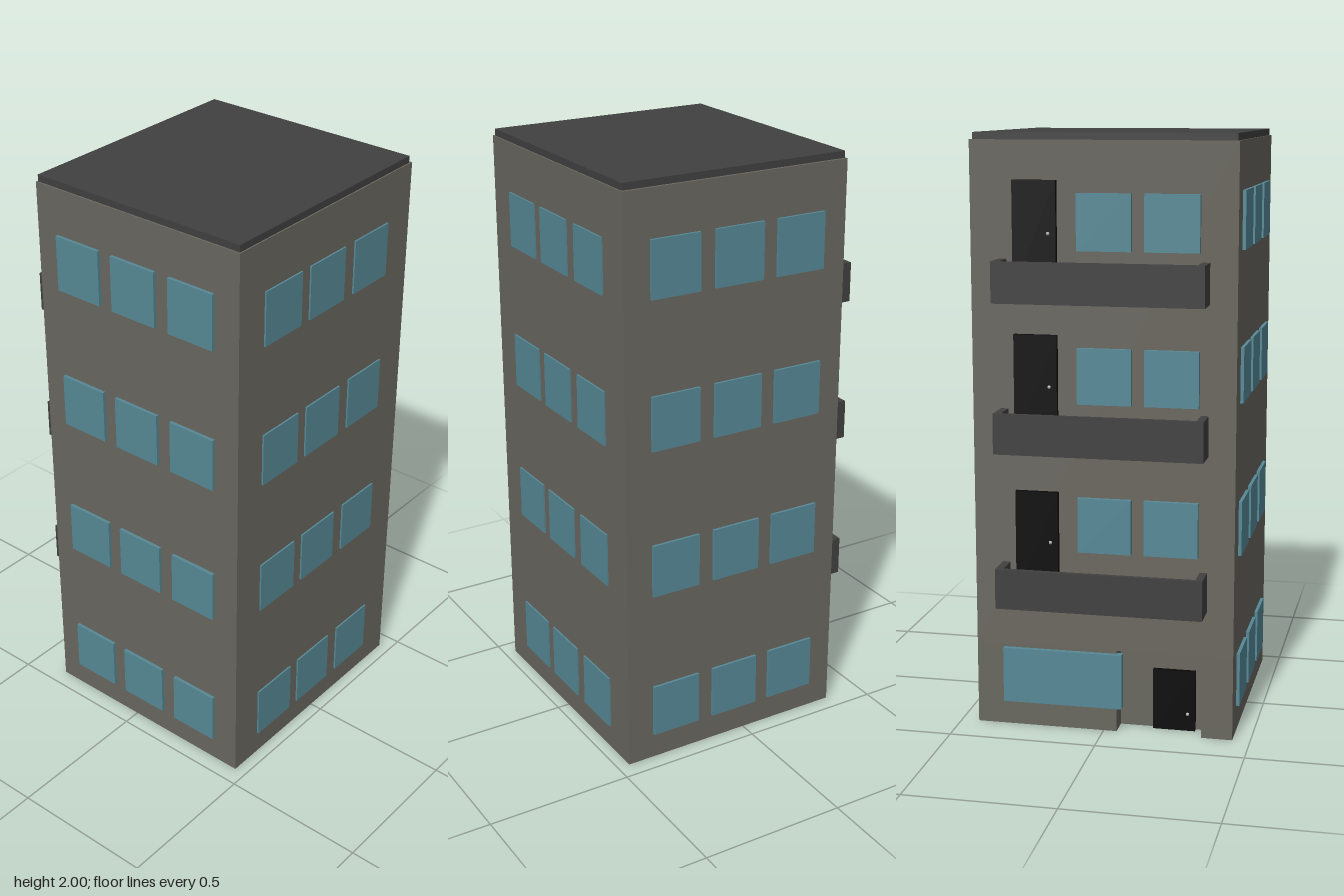
import * as THREE from 'three';

const paint = (color) => new THREE.MeshStandardMaterial({ color, flatShading: true });

export function createModel() {
  const model = new THREE.Group();
  const wall = paint(0x69675f), glass = paint(0x568996), dark = paint(0x404041);
  const black = paint(0x0a0a0a), metal = paint(0xaaaaaa);

  // Box given by its low and high corners
  function box(name, mat, [x0, y0, z0], [x1, y1, z1], parent = model) {
    const mesh = new THREE.Mesh(new THREE.BoxGeometry(x1 - x0, y1 - y0, z1 - z0), mat);
    mesh.position.set((x0 + x1) / 2, (y0 + y1) / 2, (z0 + z1) / 2);
    mesh.name = name;
    parent.add(mesh);
    return mesh;
  }

  const W = 0.44, BACK = -0.36, FRONT = 0.457;
  const notch = { x0: -0.335, x1: -0.045, z: -0.29, top: 0.285 };

  // Ground storey: floor plan with the entrance notched out of the back wall
  const plan = new THREE.Shape([
    [-W, -FRONT], [W, -FRONT], [W, -BACK], [notch.x1, -BACK], [notch.x1, -notch.z],
    [notch.x0, -notch.z], [notch.x0, -BACK], [-W, -BACK],
  ].map(([x, y]) => new THREE.Vector2(x, y)));
  const ground = new THREE.Mesh(
    new THREE.ExtrudeGeometry(plan, { depth: notch.top, bevelEnabled: false }), wall);
  ground.rotation.x = -Math.PI / 2;
  ground.name = 'groundStorey';
  model.add(ground);

  // Upper storeys and the slightly inset roof slab
  box('upperStoreys', wall, [-W, notch.top, BACK], [W, 1.977, FRONT]);
  box('roof', dark, [-0.434, 1.97, -0.356], [0.43, 2, 0.452]);

  // Door with a small round knob, facing the back
  function door(x0, x1, y0, y1, z, knobY) {
    const group = new THREE.Group();
    group.name = 'door';
    box('doorPanel', black, [x0, y0, z - 0.018], [x1, y1, z + 0.01], group);
    const knob = new THREE.Mesh(new THREE.SphereGeometry(0.006, 12, 8), metal);
    knob.position.set(x0 + 0.025, knobY, z - 0.021);
    knob.name = 'doorKnob';
    group.add(knob);
    model.add(group);
  }

  // Balcony: floor and three parapet walls
  function balcony(y0, y1) {
    const group = new THREE.Group();
    group.name = 'balcony';
    const [x0, x1, z0, t] = [-0.35, 0.345, -0.463, 0.025];
    box('balconyFloor', dark, [x0 + t, y0, z0 + 0.018], [x1 - t, y0 + 0.03, BACK], group);
    box('balconyFront', dark, [x0, y0, z0], [x1, y1, z0 + 0.018], group);
    box('balconySide', dark, [x0, y0, z0 + 0.018], [x0 + t, y1, BACK], group);
    box('balconySide', dark, [x1 - t, y0, z0 + 0.018], [x1, y1, BACK], group);
    model.add(group);
  }

  const columns = [[-0.32, -0.14], [-0.097, 0.083], [0.135, 0.315]];
  const sideColumns = [[-0.275, -0.097], [-0.045, 0.132], [0.187, 0.363]];
  const rows = [[0.083, 0.27], [0.625, 0.81], [1.125, 1.31], [1.625, 1.81]];
  const sideRows = [[0.09, 0.275], [0.615, 0.8], [1.13, 1.315], [1.63, 1.82]];

  // Windows on the front and both sides
  for (let i = 0; i < 4; i++) {
    for (const [a, b] of columns)
      box('frontWindow', glass, [a, rows[i][0], FRONT - 0.01], [b, rows[i][1], FRONT + 0.006]);
    for (const [a, b] of sideColumns) {
      const [y0, y1] = sideRows[i];
      box('leftWindow', glass, [W - 0.01, y0, a], [W + 0.009, y1, b]);
      box('rightWindow', glass, [-W - 0.011, y0, a], [-W + 0.01, y1, b]);
    }
  }

  // Back of the upper storeys: two windows, a door and a balcony each
  const storeys = [[0.44, 0.575, 0.825], [0.965, 1.1, 1.35], [1.46, 1.595, 1.85]];
  storeys.forEach(([y0, y1, doorTop], i) => {
    balcony(y0, y1);
    door(0.15, 0.295, y0 + 0.03, doorTop, BACK, doorTop - 0.17);
    for (const [a, b] of columns.slice(0, 2))
      box('backWindow', glass, [a, rows[i + 1][0], BACK - 0.018], [b, rows[i + 1][1], BACK + 0.01]);
  });

  // Ground storey back: wide window and recessed entrance door
  box('wideWindow', glass, [-0.065, 0.085, BACK - 0.018], [0.345, 0.275, BACK + 0.01]);
  door(-0.305, -0.16, 0, 0.21, notch.z, 0.06);

  return model;
}
